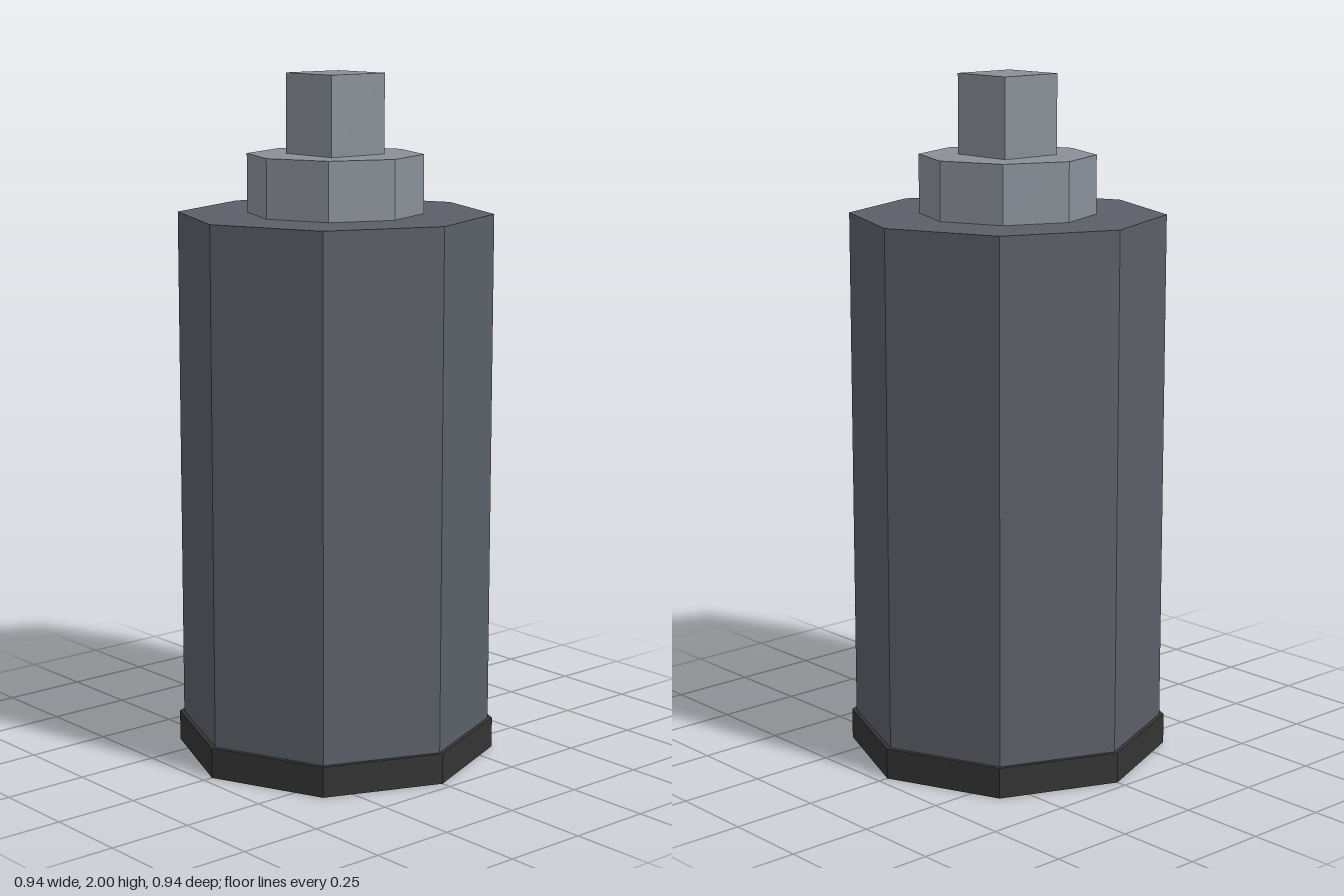
import * as THREE from 'three';

const material = (name, color) => {
  const m = new THREE.MeshStandardMaterial({ color, flatShading: true });
  m.name = name;
  return m;
};

export function createModel() {
  const group = new THREE.Group();
  group.name = 'canister';
  const darkGrey = material('dark grey', 0x343434);
  const slateGrey = material('slate grey', 0x5b5f67);
  const lightGrey = material('light grey', 0x8a8f98);

  const add = (name, geometry, mat, bottom, top) => {
    const mesh = new THREE.Mesh(geometry, mat);
    mesh.name = name;
    mesh.position.y = (bottom + top) / 2;
    group.add(mesh);
  };

  // Stacked octagonal drums, with corners on the axes
  const drum = (name, radius, bottom, top, mat) =>
    add(name, new THREE.CylinderGeometry(radius, radius, top - bottom, 8), mat, bottom, top);

  drum('baseRim', 0.47, 0, 0.09, darkGrey);
  drum('body', 0.457, 0.09, 1.6, slateGrey);
  drum('collar', 0.255, 1.6, 1.77, lightGrey);

  // Square nozzle on top
  add('nozzle', new THREE.BoxGeometry(0.2, 0.23, 0.2), lightGrey, 1.77, 2);

  return group;
}
